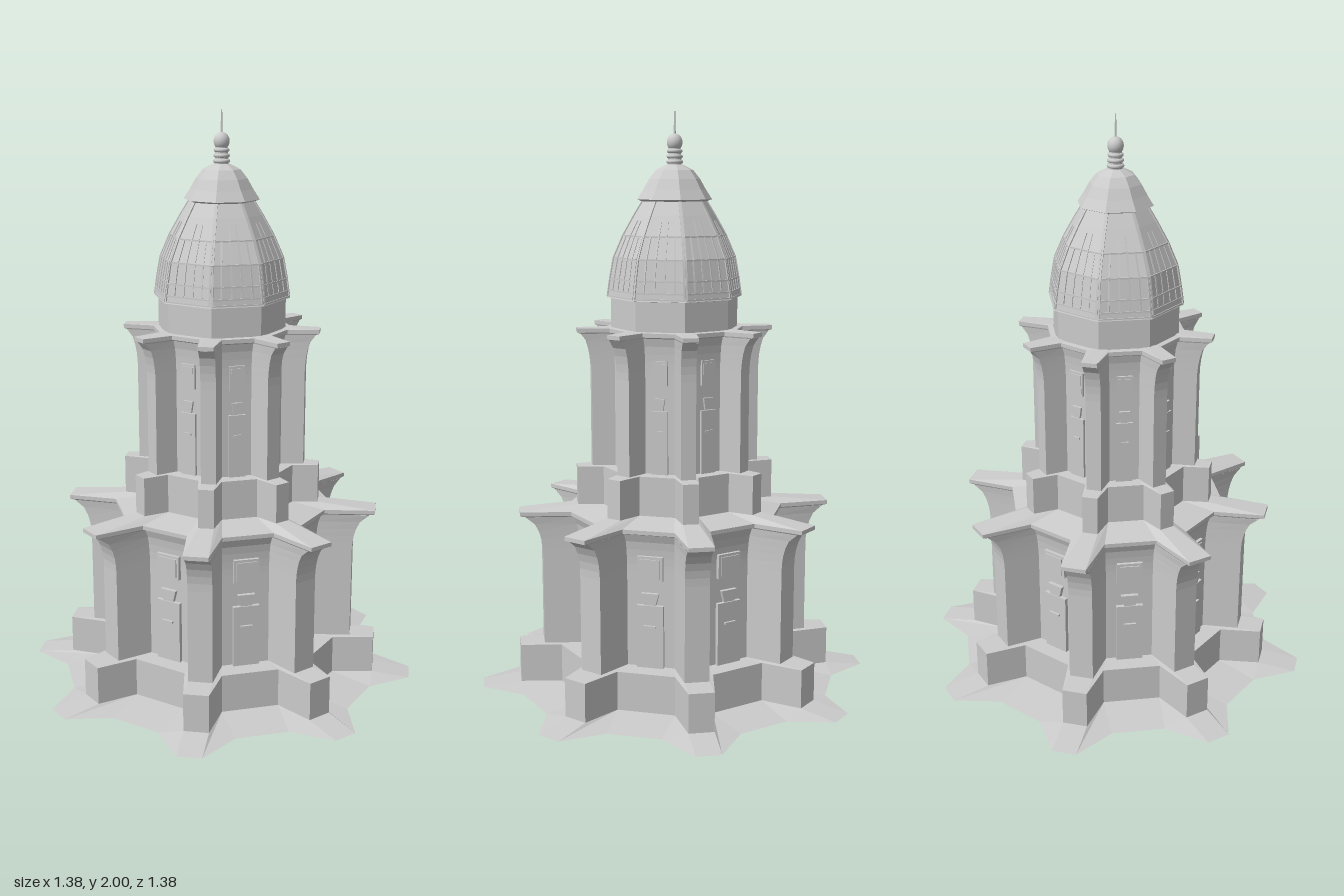
import * as THREE from 'three';

const SIDES = 8;
const STEP = (Math.PI * 2) / SIDES;
const TURN = THREE.MathUtils.degToRad(-9); // the eight arms sit slightly off axis
const deg = THREE.MathUtils.degToRad;

const stone = new THREE.MeshStandardMaterial({ color: 0xcccccc, flatShading: true, side: THREE.DoubleSide });
const smooth = new THREE.MeshStandardMaterial({ color: 0xcccccc, side: THREE.DoubleSide });

function add(parent, name, geometry, material = stone) {
  const mesh = new THREE.Mesh(geometry, material);
  mesh.name = name;
  parent.add(mesh);
  return mesh;
}

// Eight-armed star outline: arm tips at radius tip, valleys at radius valley
function starRing([y, tip, tipAngle, valley, valleyAngle]) {
  const pts = [];
  for (let k = 0; k < SIDES; k++) {
    const a = TURN + k * STEP;
    for (const [r, d] of [[valley, -valleyAngle], [tip, -tipAngle], [tip, tipAngle], [valley, valleyAngle]]) {
      const t = a + deg(d);
      pts.push(new THREE.Vector3(r * Math.cos(t), y, r * Math.sin(t)));
    }
  }
  return pts;
}

// Open shell through a stack of star outlines
function starLoft(sections) {
  const rings = sections.map(starRing);
  const pos = [];
  for (let j = 0; j < rings.length - 1; j++) {
    const lo = rings[j], hi = rings[j + 1], n = lo.length;
    for (let i = 0; i < n; i++) {
      const m = (i + 1) % n;
      for (const p of [lo[m], lo[i], hi[i], lo[m], hi[i], hi[m]]) pos.push(p.x, p.y, p.z);
    }
  }
  const g = new THREE.BufferGeometry();
  g.setAttribute('position', new THREE.Float32BufferAttribute(pos, 3));
  g.computeVertexNormals();
  return g;
}

// Door with lintel and a window, on the wall between two arms
function facade(y) {
  const g = new THREE.Group();
  g.name = 'facade';
  const panel = (name, w, h, d, cy, z = 0.343) =>
    add(g, name, new THREE.BoxGeometry(w, h, d)).position.set(0, y + cy, z);
  panel('door', 0.092, 0.22, 0.022, 0.11);
  panel('doorRail', 0.042, 0.007, 0.012, 0.148, 0.356);
  panel('windowFrame', 0.088, 0.084, 0.022, 0.348);
  panel('windowPane', 0.07, 0.066, 0.008, 0.348, 0.354);
  const key = new THREE.Shape();
  key.moveTo(-0.02, 0.222); key.lineTo(0.02, 0.222);
  key.lineTo(0.03, 0.262); key.lineTo(-0.03, 0.262);
  const lintel = new THREE.ExtrudeGeometry(key, { depth: 0.02, bevelEnabled: false });
  add(g, 'doorLintel', lintel).position.set(0, y, 0.334);
  return g;
}

// One storey: plinth, flared walls and cornice roof
function storey(name, y, plinthH, roof) {
  const g = new THREE.Group();
  g.name = name;
  const b = y + plinthH;
  add(g, 'plinth', starLoft([[y, 0.56, 4.4, 0.42, 8.8], [b, 0.56, 4.4, 0.42, 8.8], [b + 0.002, 0.475, 5, 0.35, 9]]));
  const wall = [[b, 0.475, 5, 0.35, 9]];
  for (let i = 0; i <= 5; i++) {
    const t = i / 5;
    const c = 1 - Math.sqrt(1 - t * t * 0.98);
    wall.push([b + 0.33 + 0.135 * t, 0.475 + 0.068 * c, 5 - 0.5 * c, 0.35 + 0.022 * c, 9]);
  }
  add(g, 'walls', starLoft(wall));
  const c = b + 0.465;
  add(g, 'corniceRoof', starLoft([
    [c, 0.53, 4.5, 0.37, 9], [c + 0.004, 0.552, 4.4, 0.38, 9], [c + 0.018, 0.552, 4.4, 0.38, 9], roof,
  ]));
  for (let k = 0; k < SIDES; k++) {
    const f = facade(b);
    f.rotation.y = Math.PI / 2 - (TURN + (k + 0.5) * STEP);
    g.add(f);
  }
  return g;
}

// Eight-sided lathe with corners in line with the arms
const octagon = (profile) =>
  new THREE.LatheGeometry(profile.map(([r, y]) => new THREE.Vector2(r, y)), SIDES, Math.PI / 2 - TURN);

function bar(parent, name, a, b, w) {
  const m = add(parent, name, new THREE.BoxGeometry(w, w, a.distanceTo(b)));
  m.position.copy(a).lerp(b, 0.5);
  m.lookAt(b);
}

const domeProfile = [[0.235, 1.378], [0.226, 1.44], [0.213, 1.51], [0.18, 1.585], [0.14, 1.655], [0.112, 1.7]];

function domeRadius(y) {
  for (let i = 1; i < domeProfile.length; i++) {
    const [r0, y0] = domeProfile[i - 1], [r1, y1] = domeProfile[i];
    if (y <= y1) return r0 + ((r1 - r0) * (y - y0)) / (y1 - y0);
  }
  return domeProfile.at(-1)[0];
}

// Point on dome facet k, u running 0..1 from corner to corner
function domePoint(k, u, y) {
  const corner = (i) => {
    const a = TURN + i * STEP, r = domeRadius(y);
    return new THREE.Vector3(r * Math.cos(a), y, r * Math.sin(a));
  };
  return corner(k).lerp(corner(k + 1), u);
}

function dome() {
  const g = new THREE.Group();
  g.name = 'dome';
  add(g, 'drum', octagon([[0.222, 1.265], [0.222, 1.372], [0.237, 1.374], [0.235, 1.378]]));
  add(g, 'domeShell', octagon(domeProfile));
  add(g, 'domeCap', octagon([[0.108, 1.698], [0.13, 1.706], [0.108, 1.74], [0.088, 1.775], [0.064, 1.805], [0.03, 1.822], [0, 1.825]]));
  const levels = [1.4, 1.44, 1.51, 1.585, 1.635];
  for (let k = 0; k < SIDES; k++) {
    // corner ribs
    for (let i = 1; i < domeProfile.length; i++)
      for (const u of [0.025, 0.975])
        bar(g, 'cornerRib', domePoint(k, u, domeProfile[i - 1][1]), domePoint(k, u, domeProfile[i][1]), 0.006);
    // window lattice
    for (const y of [1.38, ...levels.slice(0, 4)])
      bar(g, 'latticeRail', domePoint(k, 0.02, y), domePoint(k, 0.98, y), 0.005);
    for (const u of [0.2, 0.4, 0.6, 0.8])
      for (let i = 1; i < levels.length; i++) {
        if (i === 4 && (u === 0.2 || u === 0.8)) continue;
        bar(g, 'latticeBar', domePoint(k, u, levels[i - 1]), domePoint(k, u, levels[i]), 0.005);
      }
  }
  return g;
}

function finial() {
  const g = new THREE.Group();
  g.name = 'finial';
  add(g, 'finialNeck', new THREE.CylinderGeometry(0.02, 0.024, 0.07, 16), smooth).position.y = 1.85;
  [1.832, 1.85, 1.868].forEach((y, i) => {
    const ring = add(g, 'finialRing', new THREE.TorusGeometry(0.022 - i * 0.001, 0.007, 8, 20), smooth);
    ring.rotation.x = Math.PI / 2;
    ring.position.y = y;
  });
  const ball = add(g, 'finialBall', new THREE.SphereGeometry(0.027, 18, 12), smooth);
  ball.position.y = 1.897;
  ball.scale.y = 1.1;
  add(g, 'finialSpike', new THREE.CylinderGeometry(0.002, 0.004, 0.08, 8), smooth).position.y = 1.96;
  return g;
}

export function createModel() {
  const model = new THREE.Group();
  model.name = 'tower';
  // sloping ground skirt
  add(model, 'groundSkirt', starLoft([[0, 0.693, 3.5, 0.57, 13.2], [0.015, 0.56, 4.4, 0.42, 8.8]]));
  model.add(storey('lowerStorey', 0, 0.15, [0.652, 0.34, 4.4, 0.255, 8.8]));
  // upper storey repeats the lower one at a narrower width
  const upper = storey('upperStorey', 0.645, 0.142, [1.272, 0.35, 4.4, 0.35, 9]);
  upper.scale.set(0.62, 1, 0.62);
  model.add(upper, dome(), finial());
  return model;
}
